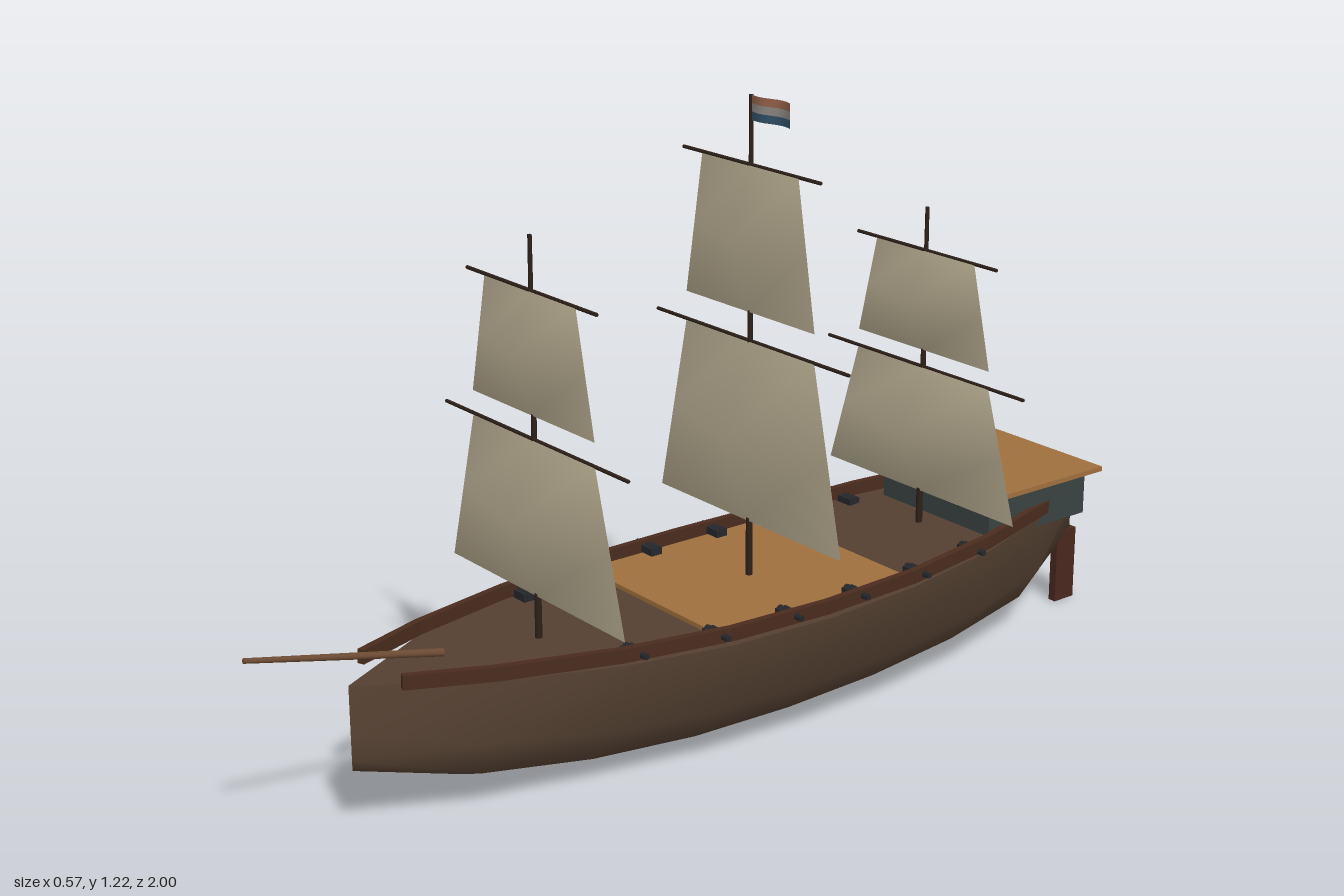
import * as THREE from 'three';

const mat = (color, extra = {}) => {
  const m = new THREE.MeshStandardMaterial({ color });
  return Object.assign(m, extra);
};
const HULL = mat(0x5a4535), DECK = mat(0x544031), PLANK = mat(0xa0703f), RAIL = mat(0x4a2c1e);
const CABIN = mat(0x3a4442), SPAR = mat(0x2e2119), IRON = mat(0x25272b), SPRIT = mat(0x6e4c34);
const RUDDER = mat(0x4a281e);
const SAIL = mat(0xbcb195, { side: THREE.DoubleSide });

// Hull stations from bow to stern: z, half width, sheer height, keel height
const STATIONS = [
  [0.8, 0, 0.288, 0.125], [0.576, 0.13, 0.28, 0.05], [0.353, 0.197, 0.27, 0.022],
  [0.129, 0.235, 0.264, 0.008], [-0.095, 0.245, 0.262, 0.005], [-0.319, 0.235, 0.266, 0.009],
  [-0.543, 0.208, 0.277, 0.023], [-0.766, 0.15, 0.292, 0.05], [-0.99, 0, 0.313, 0.14],
];

function halfWidth(z) {
  const i = Math.max(1, STATIONS.findIndex((s) => s[0] <= z));
  const [a, b] = [STATIONS[i - 1], STATIONS[i]];
  return THREE.MathUtils.mapLinear(z, a[0], b[0], a[1], b[1]);
}

// Skin a list of equal-length rows of points
function loft(rows) {
  const n = rows[0].length, index = [];
  for (let i = 0; i < rows.length - 1; i++) {
    for (let j = 0; j < n - 1; j++) {
      const a = i * n + j, d = a + n;
      index.push(a, a + 1, d, a + 1, d + 1, d);
    }
  }
  const g = new THREE.BufferGeometry();
  g.setAttribute('position', new THREE.Float32BufferAttribute(rows.flat(2), 3));
  g.setIndex(index);
  g.computeVertexNormals();
  return g;
}

function add(parent, name, geometry, material, x = 0, y = 0, z = 0) {
  const mesh = new THREE.Mesh(geometry, material);
  mesh.name = name;
  mesh.position.set(x, y, z);
  parent.add(mesh);
  return mesh;
}

const box = (w, h, d) => new THREE.BoxGeometry(w, h, d);

// Straight bar between two points; its long axis is local z
function bar(parent, name, p, q, w, h, material) {
  const a = new THREE.Vector3(...p), b = new THREE.Vector3(...q);
  const mid = a.clone().add(b).multiplyScalar(0.5);
  const mesh = add(parent, name, box(w, h, a.distanceTo(b) + 0.008), material, mid.x, mid.y, mid.z);
  mesh.lookAt(b);
}

// Four-cornered sail, wider at the foot, with its middle blown forward
function sailGeometry(top, foot, headHalf, footHalf, belly) {
  const g = new THREE.PlaneGeometry(2, 1, 2, 2), p = g.attributes.position;
  for (let i = 0; i < p.count; i++) {
    const u = p.getX(i), t = 0.5 - p.getY(i);
    const bulge = belly * Math.cos(u * Math.PI / 2) * Math.sin(t * Math.PI);
    p.setXYZ(i, u * THREE.MathUtils.lerp(headHalf, footHalf, t), THREE.MathUtils.lerp(top, foot, t), bulge);
  }
  g.computeVertexNormals();
  return g;
}

function buildMast(name, z, height, upper, lower) {
  const mast = new THREE.Group();
  mast.name = name;
  mast.position.z = z;
  const base = 0.255;
  add(mast, 'pole', new THREE.CylinderGeometry(0.004, 0.007, height - base, 8), SPAR, 0, (height + base) / 2, 0);
  const sails = [
    ['upper', upper, 0.2, 0.14, 0.19, 0.045],
    ['lower', lower, 0.285, 0.19, 0.272, 0.06],
  ];
  for (const [level, [top, foot], yardHalf, headHalf, footHalf, belly] of sails) {
    const yard = add(mast, level + 'Yard', new THREE.CylinderGeometry(0.0035, 0.0035, yardHalf * 2, 6), SPAR, 0, top, 0.002);
    yard.rotation.z = Math.PI / 2;
    add(mast, level + 'Sail', sailGeometry(top, foot, headHalf, footHalf, belly), SAIL, 0, 0, 0.004);
  }
  return mast;
}

export function createModel() {
  const ship = new THREE.Group();
  ship.name = 'sailingShip';

  // Hull skin, rounded down to the keel, and the main deck closing it
  const section = [[1, 1], [0.86, 0.44], [0.5, 0.115], [0, 0], [-0.5, 0.115], [-0.86, 0.44], [-1, 1]];
  add(ship, 'hull', loft(STATIONS.map(([z, w, top, keel]) =>
    section.map(([u, v]) => [u * w, keel + v * (top - keel), z]))), HULL);
  add(ship, 'deck', loft(STATIONS.map(([z, w, top]) => [[-w, top, z], [w, top, z]])), DECK);
  add(ship, 'midDeck', box(0.44, 0.02, 0.465), PLANK, 0, 0.263, -0.0975);

  // Rails along both sides
  const railPath = [
    [0.07, 0.301, 0.73], [0.13, 0.296, 0.576], [0.19, 0.289, 0.353], [0.225, 0.284, 0.129],
    [0.234, 0.282, -0.095], [0.225, 0.284, -0.319], [0.2, 0.294, -0.543], [0.148, 0.307, -0.766], [0.085, 0.318, -0.915],
  ];
  for (const side of [1, -1]) {
    const rail = new THREE.Group();
    rail.name = side > 0 ? 'leftRail' : 'rightRail';
    ship.add(rail);
    const points = railPath.map(([x, y, z]) => [side * x, y, z]);
    for (let i = 1; i < points.length; i++) bar(rail, 'railSegment', points[i - 1], points[i], 0.014, 0.027, RAIL);
  }

  // Six guns on each side
  for (const side of [1, -1]) {
    for (let i = 0; i < 6; i++) {
      const z = 0.315 - i * 0.165, w = halfWidth(z);
      const gun = new THREE.Group();
      gun.name = 'gun';
      gun.position.set(side * w, 0.282, z);
      add(gun, 'carriage', box(0.042, 0.016, 0.026), IRON, -side * 0.03, -0.002, 0);
      const barrel = add(gun, 'barrel', new THREE.CylinderGeometry(0.006, 0.008, 0.065, 8), IRON, -side * 0.02, 0.002, 0);
      barrel.rotation.z = -side * Math.PI / 2;
      ship.add(gun);
    }
  }

  // Stern cabin with overhanging roof
  add(ship, 'cabin', box(0.314, 0.1, 0.272), CABIN, 0, 0.32, -0.724);
  add(ship, 'cabinRoof', box(0.39, 0.01, 0.288), PLANK, 0, 0.374, -0.726);

  // Rudder and bowsprit
  add(ship, 'rudder', box(0.018, 0.16, 0.055), RUDDER, 0, 0.08, -0.9725);
  const sprit = add(ship, 'bowsprit', new THREE.CylinderGeometry(0.005, 0.008, 0.4, 8), SPRIT, 0, 0.344, 0.802);
  sprit.rotation.x = Math.PI / 2 - Math.atan2(0.09, 0.39);

  // Masts with yards and sails
  ship.add(
    buildMast('foreMast', 0.4, 1.03, [0.93, 0.7], [0.655, 0.355]),
    buildMast('mainMast', -0.095, 1.215, [1.085, 0.803], [0.747, 0.385]),
    buildMast('mizzenMast', -0.543, 0.937, [0.85, 0.645], [0.61, 0.347]),
  );

  // Striped flag, gently waving
  const flag = new THREE.Group();
  flag.name = 'flag';
  flag.position.set(0, 1.192, -0.095);
  [0xa06a50, 0x98928c, 0x35566e].forEach((color, i) => {
    const g = new THREE.PlaneGeometry(0.11, 0.0155, 8, 1), p = g.attributes.position;
    for (let k = 0; k < p.count; k++) p.setZ(k, 0.006 * Math.sin((p.getX(k) / 0.11 + 0.5) * Math.PI * 2));
    g.computeVertexNormals();
    add(flag, 'flagStripe', g, mat(color, { side: THREE.DoubleSide }), 0.055, (1 - i) * 0.0155, 0);
  });
  ship.add(flag);

  return ship;
}
